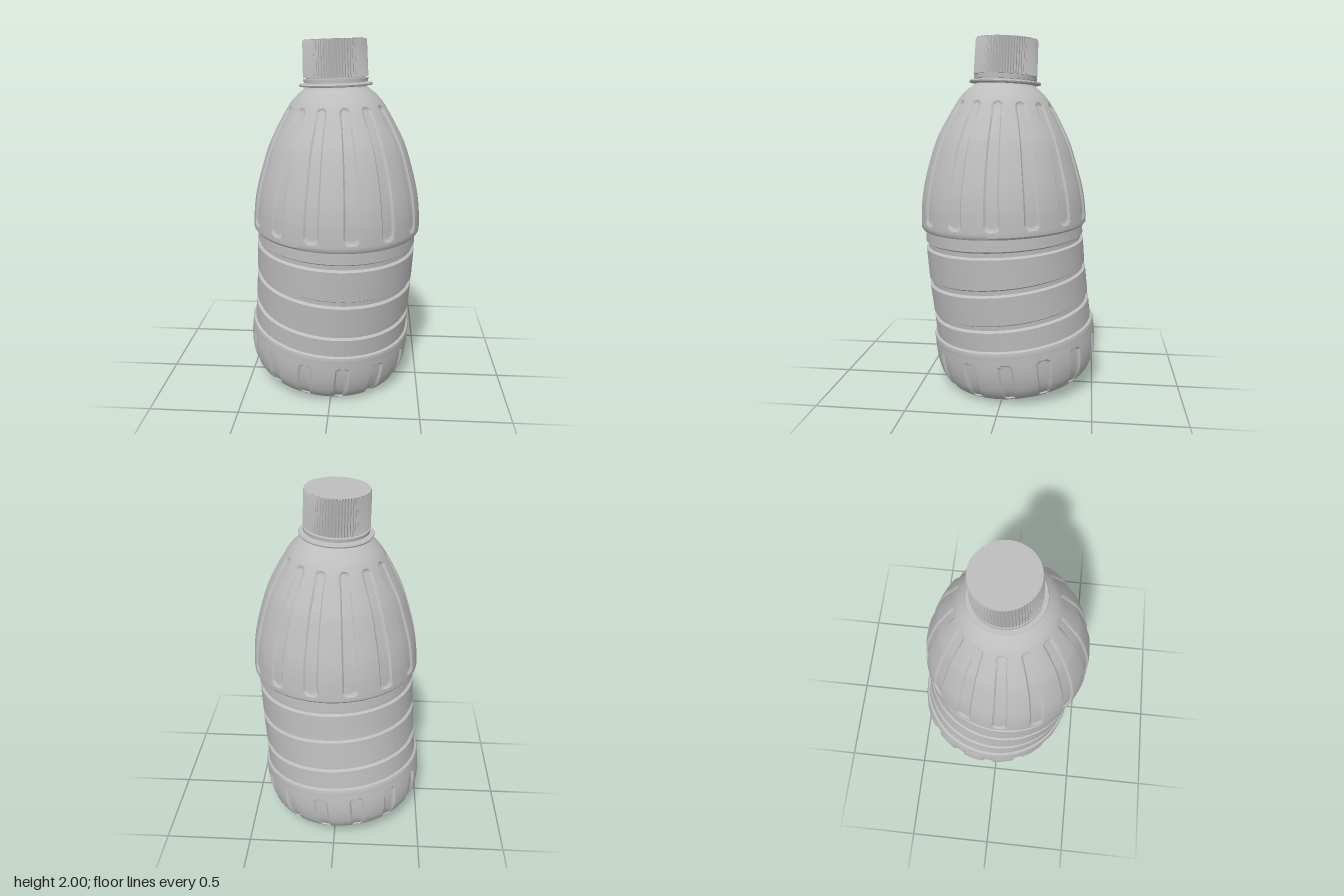
import * as THREE from 'three';
import { mergeVertices, toCreasedNormals } from 'three/addons/utils/BufferGeometryUtils.js';

const FLUTES = 14;
const STEP = (Math.PI * 2) / FLUTES;

// Bottle axis: gently bowed, knots evenly spaced in height from 0 to 2
const axis = new THREE.CatmullRomCurve3(
  [[-0.053, -0.066], [-0.019, -0.026], [0.009, 0.015], [0.018, 0.028], [0.014, 0.021], [0.001, 0.005]]
    .map(([x, z], i) => new THREE.Vector3(x, i * 0.4, z)), false, 'catmullrom', 0.5);

// Apply a rule to every vertex
function reshape(geo, rule) {
  const pos = geo.attributes.position;
  const v = new THREE.Vector3();
  for (let i = 0; i < pos.count; i++) {
    v.fromBufferAttribute(pos, i);
    rule(v);
    pos.setXYZ(i, v.x, v.y, v.z);
  }
}

// Carry a straight part onto the bowed axis, tilting each cross-section with it
function bend(v) {
  const t = THREE.MathUtils.clamp(v.y / 2, 0, 1);
  const c = axis.getPoint(t);
  const d = axis.getTangent(t);
  const drop = (d.x * v.x + d.z * v.z) / d.y;
  v.set(v.x + c.x, v.y - drop, v.z + c.z);
}

// Sink depth for rounded, tapering slots repeated around the axis
function slotDepth(v, y0, y1, w0, w1, depth) {
  const a = Math.atan2(v.z, v.x);
  const r = Math.hypot(v.x, v.z);
  const across = Math.abs(a - Math.round(a / STEP) * STEP) * r;
  const k = THREE.MathUtils.clamp((v.y - y0) / (y1 - y0), 0, 1);
  const w = w0 + (w1 - w0) * k;
  const round = w * 0.7;
  const qx = across - w + round;
  const qy = Math.abs(v.y - (y0 + y1) / 2) - (y1 - y0) / 2 + round;
  const dist = Math.hypot(Math.max(qx, 0), Math.max(qy, 0)) + Math.min(Math.max(qx, qy), 0) - round;
  return depth * THREE.MathUtils.smoothstep(-dist, -0.002, 0.007);
}

function sink(v, depth) {
  const r = Math.hypot(v.x, v.z);
  if (r < 0.01) return;
  const k = (r - depth) / r;
  v.x *= k;
  v.z *= k;
}

const points = (list) => list.map(([r, y]) => new THREE.Vector2(r, y));
const smooth = (list, n) => new THREE.SplineCurve(points(list)).getSpacedPoints(n);

export function createModel() {
  const group = new THREE.Group();
  const plastic = new THREE.MeshStandardMaterial({ color: 0xbdbdbd });
  plastic.name = 'grey plastic';

  function add(name, geo, rule, crease = 0.55) {
    geo.deleteAttribute('uv');
    geo.deleteAttribute('normal');
    if (rule) reshape(geo, rule);
    reshape(geo, bend);
    const mesh = new THREE.Mesh(toCreasedNormals(mergeVertices(geo, 1e-5), crease), plastic);
    mesh.name = name;
    group.add(mesh);
  }

  // Base: domed underside with radial grooves, rounded foot, slotted wall
  const underside = smooth([[0, 0.2], [0.12, 0.18], [0.22, 0.13], [0.28, 0.075], [0.315, 0.05],
    [0.36, 0.05], [0.41, 0.075], [0.445, 0.125], [0.463, 0.19], [0.469, 0.26], [0.467, 0.335]], 80);
  const baseProfile = [...underside, ...points([[0.468, 0.35], [0.464, 0.364], [0.447, 0.372]])];
  add('base', new THREE.LatheGeometry(baseProfile, FLUTES * 20), (v) => {
    const r = Math.hypot(v.x, v.z);
    if (r < 0.4 && v.y < 0.21) {
      const a = Math.atan2(v.z, v.x) + STEP / 2;
      const across = Math.abs(a - Math.round(a / (2 * STEP)) * 2 * STEP) * r;
      const fade = THREE.MathUtils.smoothstep(r, 0.03, 0.08) * (1 - THREE.MathUtils.smoothstep(r, 0.37, 0.4));
      v.y += 0.012 * fade * (1 - THREE.MathUtils.smoothstep(across, 0.008, 0.016));
    }
    if (r > 0.36) sink(v, slotDepth(v, 0.08, 0.295, 0.03, 0.042, 0.013));
  });

  // Waist: straight bands parted by three grooves
  const waist = [[0.452, 0.36]];
  for (const y of [0.495, 0.685, 0.875]) {
    waist.push([0.451, y - 0.02], [0.436, y - 0.011], [0.436, y + 0.011], [0.45, y + 0.02]);
  }
  waist.push([0.447, 0.965]);
  add('waist', new THREE.LatheGeometry(points(waist), 128));

  // Shoulder: ogive with long flutes and a lip at its lower edge
  const ogive = smooth([[0.471, 0.985], [0.463, 1.1], [0.441, 1.22], [0.388, 1.4], [0.344, 1.5],
    [0.265, 1.64], [0.215, 1.7], [0.172, 1.735]], 84);
  const shoulder = [...points([[0.444, 0.953], [0.462, 0.957], [0.47, 0.968]]), ...ogive];
  add('shoulder', new THREE.LatheGeometry(shoulder, FLUTES * 20), (v) =>
    sink(v, slotDepth(v, 1.0, 1.64, 0.039, 0.027, 0.011)));

  // Neck with its flat collar
  add('neck', new THREE.LatheGeometry(points([[0.172, 1.73], [0.165, 1.742], [0.198, 1.746],
    [0.201, 1.753], [0.197, 1.76], [0.162, 1.763], [0.162, 1.8]]), 96));

  // Tamper ring below the cap
  add('tamperRing', new THREE.LatheGeometry(points([[0.16, 1.767], [0.176, 1.767],
    [0.177, 1.785], [0.16, 1.787]]), 96));

  // Cap: knurled side wall with a flat top
  const TEETH = 72;
  const cap = new THREE.LatheGeometry(points([[0, 1.793], [0.178, 1.793], [0.174, 1.982],
    [0.17, 1.99], [0, 1.99]]), TEETH * 2);
  add('cap', cap, (v) => {
    const r = Math.hypot(v.x, v.z);
    const tooth = Math.round((Math.atan2(v.x, v.z) / Math.PI) * TEETH + TEETH * 2) % 2;
    if (r > 0.172 && tooth) sink(v, 0.008);
  }, 0.4);

  return group;
}
